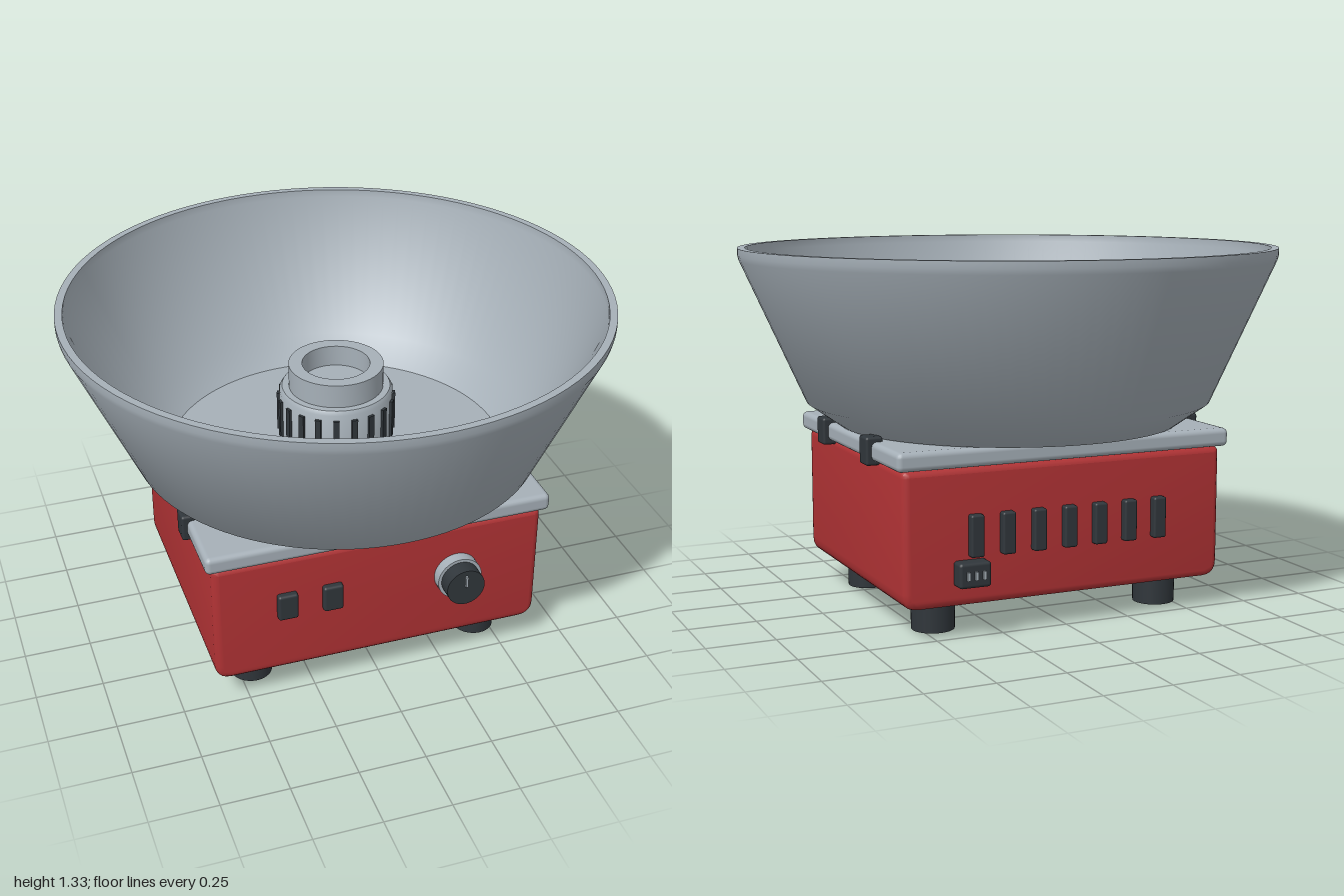
import * as THREE from 'three';
import { toCreasedNormals } from 'three/addons/utils/BufferGeometryUtils.js';
import { RoundedBoxGeometry } from 'three/addons/geometries/RoundedBoxGeometry.js';

const material = (color) => new THREE.MeshStandardMaterial({ color });

export function createModel() {
  const model = new THREE.Group();
  const steel = material(0xa6b0b8);
  const red = material(0xb23335);
  const dark = material(0x30363b);

  const add = (name, geometry, mat, x = 0, y = 0, z = 0, parent = model) => {
    const mesh = new THREE.Mesh(geometry, mat);
    mesh.name = name;
    mesh.position.set(x, y, z);
    parent.add(mesh);
    return mesh;
  };
  const box = (w, h, d, r = 0.01) => new RoundedBoxGeometry(w, h, d, 2, r);
  const lathe = (points, segments = 96) => toCreasedNormals(
    new THREE.LatheGeometry(points.map(([r, y]) => new THREE.Vector2(r, y)), segments), 0.6);

  // Housing: rounded outline, softer at the bottom, extruded front to back
  const w = 0.625, y0 = 0.115, y1 = 0.605, rb = 0.06, rt = 0.025;
  const outline = new THREE.Shape();
  outline.moveTo(-w + rb, y0);
  outline.lineTo(w - rb, y0);
  outline.quadraticCurveTo(w, y0, w, y0 + rb);
  outline.lineTo(w, y1 - rt);
  outline.quadraticCurveTo(w, y1, w - rt, y1);
  outline.lineTo(-w + rt, y1);
  outline.quadraticCurveTo(-w, y1, -w, y1 - rt);
  outline.lineTo(-w, y0 + rb);
  outline.quadraticCurveTo(-w, y0, -w + rb, y0);
  const housing = new THREE.ExtrudeGeometry(outline, {
    depth: 0.97, curveSegments: 5, bevelSize: 0.025, bevelOffset: -0.025,
    bevelThickness: 0.025, bevelSegments: 3,
  });
  add('housing', toCreasedNormals(housing, 0.6), red, 0, 0, -0.485);

  // Feet
  for (const x of [-0.45, 0.45]) for (const z of [-0.337, 0.337]) {
    add('foot', new THREE.CylinderGeometry(0.08, 0.078, 0.13, 32), dark, x, 0.065, z);
  }

  // Top plate and its side clips
  add('topPlate', box(1.3, 0.068, 1.06, 0.02), steel, 0, 0.639, 0);
  for (const x of [-0.638, 0.638]) for (const z of [-0.237, 0.237]) {
    add('clip', box(0.064, 0.102, 0.075), dark, x, 0.64, z);
  }

  // Bowl: closed double-walled profile
  add('bowl', lathe([
    [0, 0.675], [0.64, 0.675], [0.76, 0.76], [0.995, 1.285], [1, 1.305], [1, 1.33],
    [0.972, 1.33], [0.97, 1.3], [0.735, 0.79], [0.63, 0.71], [0, 0.71],
  ]), steel);

  // Spinning head with a stepped collar and a recessed centre
  const head = new THREE.Group();
  head.name = 'spinningHead';
  model.add(head);
  add('headBody', lathe([
    [0.21, 0.7], [0.21, 0.955], [0.2, 0.97], [0.175, 0.97], [0.175, 1.06],
    [0.125, 1.06], [0.125, 0.98], [0, 0.98],
  ], 64), steel, 0, 0, 0, head);
  for (let i = 0; i < 20; i++) {
    const a = (i / 20) * Math.PI * 2;
    const slot = add('headSlot', new THREE.BoxGeometry(0.022, 0.15, 0.02), dark,
      Math.sin(a) * 0.21, 0.86, Math.cos(a) * 0.21, head);
    slot.rotation.y = a;
  }

  // Front switches
  for (const x of [-0.355, -0.185]) {
    add('switch', box(0.075, 0.105, 0.05), dark, x, 0.403, 0.51);
  }

  // Control knob with bezel and pointer
  const knob = new THREE.Group();
  knob.name = 'controlKnob';
  knob.position.set(0.295, 0.393, 0);
  model.add(knob);
  const disc = (name, r, depth, mat, z) => {
    add(name, new THREE.CylinderGeometry(r, r, depth, 40), mat, 0, 0, z, knob).rotation.x = Math.PI / 2;
  };
  disc('knobBezel', 0.085, 0.06, steel, 0.522);
  disc('knobCap', 0.073, 0.07, dark, 0.575);
  add('knobPointer', new THREE.BoxGeometry(0.008, 0.045, 0.02), steel, 0, 0.03, 0.61, knob);

  // Rear vents
  for (let i = -3; i <= 3; i++) {
    add('vent', box(0.05, 0.15, 0.05, 0.008), dark, i * 0.12, 0.365, -0.515);
  }

  // Rear power inlet with three pins
  add('powerInlet', box(0.12, 0.09, 0.08, 0.012), dark, 0.38, 0.235, -0.525);
  for (const dx of [-0.03, 0, 0.03]) {
    add('powerPin', new THREE.BoxGeometry(0.01, 0.03, 0.02), steel, 0.38 + dx, 0.235, -0.565);
  }

  return model;
}
